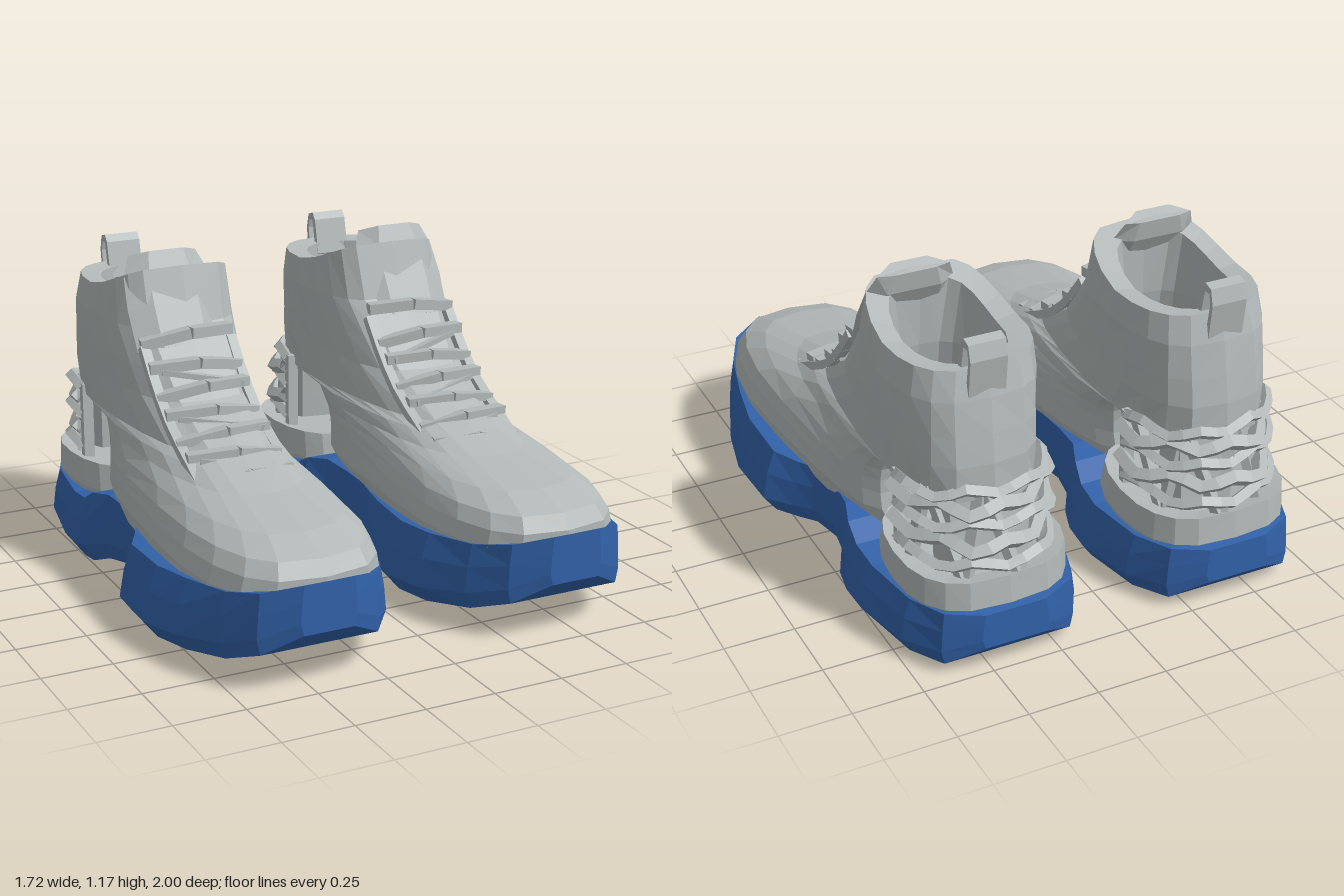
import * as THREE from 'three';

const grey = new THREE.MeshStandardMaterial({ color: 0xb2b9b8, flatShading: true, side: THREE.DoubleSide });
grey.name = 'upper grey';
const blue = new THREE.MeshStandardMaterial({ color: 0x3262a9, flatShading: true, side: THREE.DoubleSide });
blue.name = 'sole blue';

const V = (x, y, z) => new THREE.Vector3(x, y, z);

// Skin over closed rings of equal point count, with optional end caps.
function loft(rings, capStart, capEnd) {
  const n = rings[0].length, pos = [], idx = [];
  rings.flat().forEach(p => pos.push(p.x, p.y, p.z));
  for (let r = 0; r < rings.length - 1; r++)
    for (let i = 0; i < n; i++) {
      const a = r * n + i, b = r * n + (i + 1) % n;
      idx.push(a, b, a + n, b, b + n, a + n);
    }
  const cap = (r, flip) => {
    const c = rings[r].reduce((s, p) => s.add(p), V(0, 0, 0)).divideScalar(n);
    const k = pos.length / 3;
    pos.push(c.x, c.y, c.z);
    for (let i = 0; i < n; i++) {
      const a = r * n + i, b = r * n + (i + 1) % n;
      idx.push(...(flip ? [b, a, k] : [a, b, k]));
    }
  };
  if (capStart) cap(0, true);
  if (capEnd) cap(rings.length - 1, false);
  const g = new THREE.BufferGeometry();
  g.setAttribute('position', new THREE.Float32BufferAttribute(pos, 3));
  g.setIndex(idx);
  return g;
}

// Rounded plan outline at height y: front and back z, half width at front and back,
// centre x, squareness of front and back (lower is squarer), lift of the front.
function outline(y, zf, zb, wf, wb, cx, ef = 0.65, eb = 0.65, rise = 0, n = 20) {
  return Array.from({ length: n }, (_, i) => {
    const a = i / n * Math.PI * 2, c = Math.cos(a), s = Math.sin(a);
    const pc = Math.sign(c) * Math.abs(c) ** (c < 0 && eb < 0.5 ? 0.6 : 0.85);
    const ps = Math.sign(s) * Math.abs(s) ** (c > 0 ? ef : eb);
    const w = THREE.MathUtils.lerp(wb, wf, (pc + 1) / 2);
    return V(cx + w * ps, y + rise * Math.max(0, c) ** 1.2, (zf + zb) / 2 + (zf - zb) / 2 * pc);
  });
}

// Bar with a w x d section from a to b.
function bar(a, b, w, d) {
  const g = new THREE.BoxGeometry(w, d, a.distanceTo(b));
  const m = new THREE.Matrix4().lookAt(b, a, V(0, 1, 0));
  return g.applyMatrix4(m).translate((a.x + b.x) / 2, (a.y + b.y) / 2, (a.z + b.z) / 2);
}

// Lace positions up the instep: z, y
const instep = [[0.37, 0.53], [0.28, 0.577], [0.19, 0.622], [0.1, 0.675], [0.025, 0.738], [-0.04, 0.805], [-0.115, 0.895]];

function createShoe(side) {
  const shoe = new THREE.Group();
  const add = (name, geo, mat = grey) => {
    if (side < 0) {
      // Mirror the geometry and restore its winding
      geo.scale(-1, 1, 1);
      const ix = geo.index;
      if (ix) {
        for (let i = 0; i < ix.count; i += 3) {
          const t = ix.getX(i);
          ix.setX(i, ix.getX(i + 1));
          ix.setX(i + 1, t);
        }
      } else geo = flipLoose(geo);
    }
    geo.computeVertexNormals();
    const m = new THREE.Mesh(geo, mat);
    m.name = name;
    shoe.add(m);
  };

  // Sole stations: z, inner x, outer x, bottom y, top y
  const sole = [
    [-1, 0.3, 0.54, 0.1, 0.23], [-0.94, 0.18, 0.66, 0.04, 0.235], [-0.8, 0.1, 0.74, 0.022, 0.225],
    [-0.56, 0.065, 0.78, 0.003, 0.215], [-0.44, 0.075, 0.785, 0.003, 0.23], [-0.36, 0.1, 0.775, 0.01, 0.275],
    [-0.27, 0.155, 0.73, 0.045, 0.29], [-0.14, 0.175, 0.71, 0.07, 0.282], [0, 0.165, 0.73, 0.055, 0.28],
    [0.08, 0.14, 0.78, 0.04, 0.272], [0.18, 0.1, 0.85, 0.03, 0.275], [0.42, 0.06, 0.86, 0.03, 0.285],
    [0.6, 0.075, 0.825, 0.05, 0.3], [0.8, 0.15, 0.755, 0.09, 0.32], [0.93, 0.24, 0.68, 0.14, 0.35], [1, 0.36, 0.56, 0.21, 0.38],
  ];
  add('sole', loft(sole.map(([z, l, r, b, t]) => {
    const h = t - b, k = THREE.MathUtils.clamp((r - l - 0.45) * 0.15, 0.01, 0.05);
    return [V(l + k, b, z), V(l, b + h * 0.25, z), V(l + k * 0.4, b + h * 0.65, z), V(l + k * 1.1, t, z),
      V(r - k * 1.1, t, z), V(r - k * 0.4, b + h * 0.65, z), V(r, b + h * 0.25, z), V(r - k, b, z)];
  }), true, true), blue);

  // Upper, outside then down the lining
  const upper = [
    [0.2, 0.93, -0.46, 0.36, 0.2, 0.455, 0.65, 0.4], [0.27, 0.95, -0.44, 0.36, 0.23, 0.455, 0.65, 0.35],
    [0.32, 0.965, -0.43, 0.36, 0.255, 0.452, 0.65, 0.3],
    [0.38, 0.965, -0.42, 0.34, 0.258, 0.45, 0.65, 0.3], [0.43, 0.93, -0.42, 0.31, 0.26, 0.448, 0.65, 0.3],
    [0.475, 0.8, -0.425, 0.26, 0.262, 0.444, 0.65, 0.3], [0.515, 0.53, -0.44, 0.215, 0.264, 0.438, 0.65, 0.3],
    [0.555, 0.37, -0.48, 0.2, 0.265, 0.434, 0.6, 0.35], [0.575, 0.3, -0.87, 0.2, 0.27, 0.433, 0.6],
    [0.7, 0.045, -0.865, 0.215, 0.268, 0.432, 0.55],
    [0.8, -0.055, -0.85, 0.228, 0.264, 0.43, 0.5], [0.92, -0.17, -0.83, 0.24, 0.258, 0.427, 0.45],
    [1.02, -0.23, -0.805, 0.23, 0.244, 0.422, 0.4, 0.7, 0.1],
    [1.01, -0.3, -0.75, 0.165, 0.165, 0.425, 0.45, 0.85, 0.08], [0.85, -0.29, -0.74, 0.15, 0.15, 0.43], [0.61, -0.25, -0.74, 0.16, 0.16, 0.43],
  ];
  add('upper', loft(upper.map(u => outline(...u)), false, true));

  // Tongue standing above the collar
  const tongue = [[0.86, -0.12, 0.165, 0.04], [1, -0.195, 0.17, 0.05], [1.1, -0.25, 0.16, 0.05], [1.17, -0.285, 0.13, 0.025]];
  add('tongue', loft(tongue.map(([y, z, w, d]) => [
    V(0.46 - w, y - 0.02, z - 0.04), V(0.46 - w * 0.5, y, z), V(0.46 + w * 0.5, y, z),
    V(0.46 + w, y - 0.02, z - 0.04), V(0.46 + w * 0.6, y - 0.02, z - d - 0.03), V(0.46 - w * 0.6, y - 0.02, z - d - 0.03),
  ]), true, true));

  // Lace edge running down both sides of the instep
  for (const s of [-1, 1])
    for (let i = 0; i < instep.length - 1; i++) {
      const [z0, y0] = instep[i], [z1, y1] = instep[i + 1], x = 0.445 + s * 0.165;
      add('eyestay', bar(V(x, y0 - 0.03, z0 - 0.025), V(x, y1 - 0.03, z1 - 0.025), 0.035, 0.03));
    }

  // Laces: a bowed strand per row and a few crossing strands
  instep.forEach(([z, y], i) => {
    const t = i % 2 ? 0.012 : -0.012, thick = 0.026 + i * 0.002;
    add('lace', bar(V(0.28, y - t - 0.01, z - 0.03), V(0.445, y + 0.01, z), 0.045, thick));
    add('lace', bar(V(0.445, y + 0.01, z), V(0.62, y + t - 0.01, z - 0.03), 0.045, thick));
    if (i % 2) {
      const [pz, py] = instep[i - 1];
      add('crossLace', bar(V(0.3, py, pz - 0.01), V(0.58, y - 0.01, z - 0.01), 0.025, 0.02));
    }
  });

  // Heel cup on the sole
  add('heelCup', loft([
    outline(0.18, -0.36, -0.94, 0.26, 0.28, 0.425), outline(0.235, -0.35, -0.975, 0.275, 0.3, 0.425),
    outline(0.335, -0.38, -0.965, 0.27, 0.295, 0.425), outline(0.32, -0.44, -0.9, 0.2, 0.22, 0.425),
  ], false, true));

  // Heel core inside the cage
  add('heelCore', loft([0.31, 0.45, 0.59].map((y, i) =>
    outline(y, -0.67, -0.89 + i * 0.02, 0.18, 0.19, 0.425, 0.65, 0.65, 0, 8)), false, false));

  // Cage bands wrapping the back of the heel, with zigzag struts
  const cage = (a, y, grow = 0) => V(0.425 + Math.cos(a) * (0.27 + grow), y, -0.62 - Math.sin(a) * (0.36 + grow - (y - 0.33) * 0.3));
  [0.37, 0.435, 0.5, 0.555, 0.605].forEach((y, k) => {
    const pts = Array.from({ length: 9 }, (_, i) =>
      cage(i / 8 * Math.PI, y + ((i + k) % 2 ? 0.014 : -0.014), ((i * 3 + k * 2) % 4) * 0.01 - 0.03));
    add('cageBand', new THREE.TubeGeometry(new THREE.CatmullRomCurve3(pts), 16, k % 2 ? 0.029 : 0.023, 4));
  });
  for (let i = 0; i < 9; i++) {
    const a = i / 8 * Math.PI, lean = i === 0 || i === 8 ? 0 : (i % 2 ? 0.18 : -0.18);
    add('cageStrut', bar(cage(a - lean, 0.31, -0.04), cage(a + lean, 0.61, -0.04), 0.04, 0.03));
  }

  // Pull loop at the back of the collar
  const loop = new THREE.Shape([[-0.735, 0.97], [-0.765, 1.1], [-0.785, 1.125], [-0.82, 1.115], [-0.835, 1.06], [-0.82, 0.93], [-0.8, 0.93]]
    .map(p => new THREE.Vector2(...p)));
  loop.holes.push(new THREE.Path([[-0.765, 1.0], [-0.785, 1.095], [-0.812, 1.095], [-0.82, 1.06], [-0.807, 0.98]]
    .map(p => new THREE.Vector2(...p))));
  add('pullLoop', new THREE.ExtrudeGeometry(loop, { depth: 0.13, bevelEnabled: false })
    .rotateY(-Math.PI / 2).translate(0.5, 0, 0));
  return shoe;
}

// Reverse the winding of a geometry without an index.
function flipLoose(geo) {
  const n = geo.attributes.position.count, idx = [];
  for (let i = 0; i < n; i += 3) idx.push(i + 1, i, i + 2);
  geo.setIndex(idx);
  return geo;
}

export function createModel() {
  const model = new THREE.Group();
  model.name = 'pairOfShoes';
  for (const s of [1, -1]) {
    const shoe = createShoe(s);
    shoe.name = s > 0 ? 'leftShoe' : 'rightShoe';
    model.add(shoe);
  }
  return model;
}
